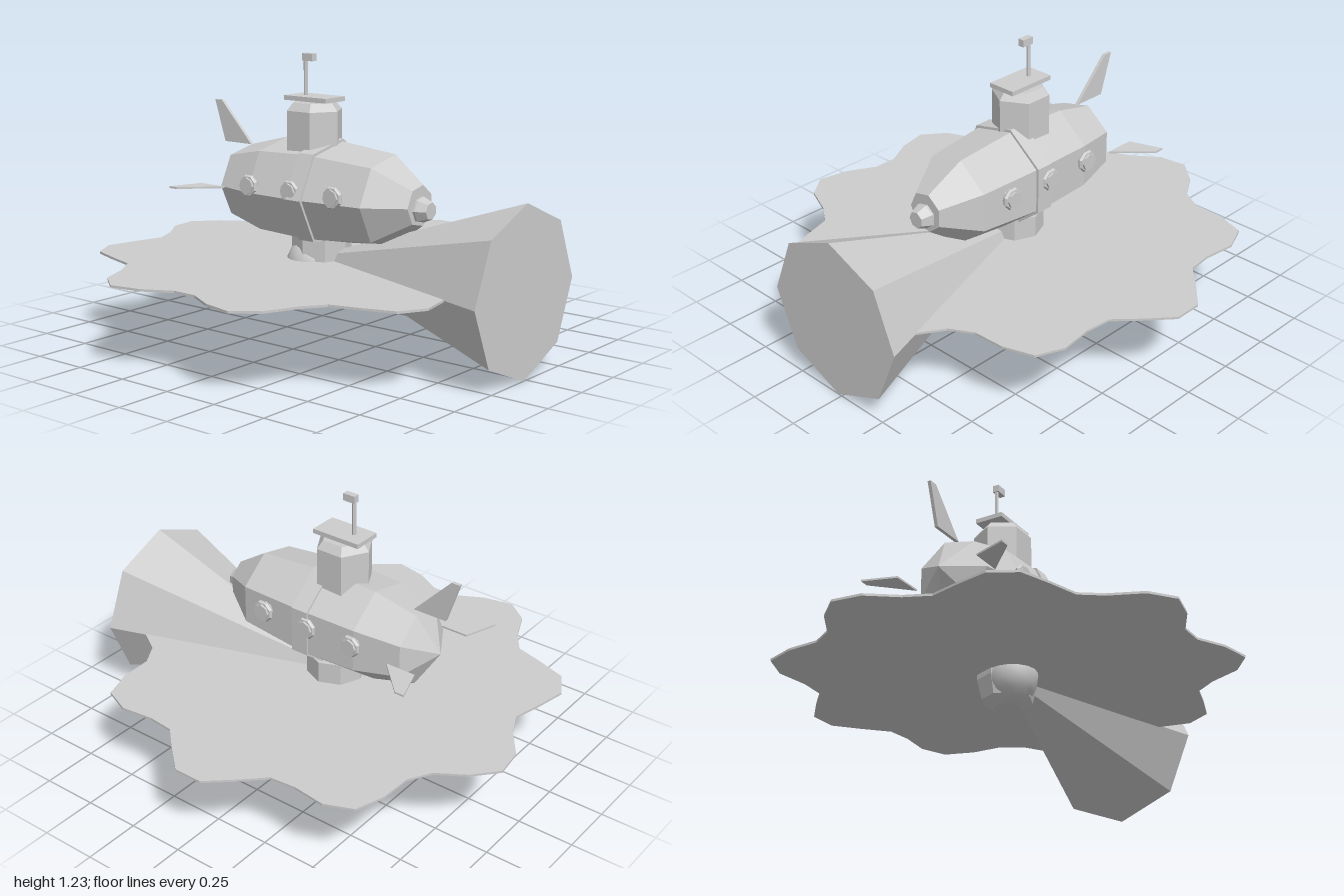
import * as THREE from 'three';

const CZ = 0.02; // centre line of the vessel
const AXIS_Y = 0.645; // hull axis height

export function createModel() {
  const model = new THREE.Group();
  model.name = 'submarine';
  const grey = new THREE.MeshStandardMaterial({ color: 0xcccccc });
  grey.name = 'plain grey';

  const add = (name, geometry, x = 0, y = 0, z = 0, parent = model) => {
    const mesh = new THREE.Mesh(geometry, grey);
    mesh.name = name;
    mesh.position.set(x, y, z);
    parent.add(mesh);
    return mesh;
  };

  const facet = (geometry) => {
    const flat = geometry.index ? geometry.toNonIndexed() : geometry;
    flat.computeVertexNormals();
    return flat;
  };

  // Faceted turned solid; the profile lists [position along the axis, radius]
  const turned = (profile, sides, start = 0) =>
    facet(new THREE.LatheGeometry(profile.map(([a, r]) => new THREE.Vector2(r, a)), sides, start));
  const turnedX = (profile, sides) => turned(profile, sides).rotateZ(-Math.PI / 2);

  const plate = (points, depth) => {
    const shape = new THREE.Shape(points.map(([x, y]) => new THREE.Vector2(x, y)));
    return new THREE.ExtrudeGeometry(shape, { depth, bevelEnabled: false }).translate(0, 0, -depth / 2);
  };

  // Seven-sided hull, middle band and nose
  add('hull', turnedX([[-0.565, 0], [-0.465, 0.167], [-0.265, 0.219], [0, 0.23],
    [0.33, 0.198], [0.49, 0.088], [0.49, 0]], 7), 0, AXIS_Y, CZ);
  add('hullBand', turnedX([[-0.035, 0], [-0.035, 0.238], [0.045, 0.238], [0.045, 0]], 7), 0, AXIS_Y, CZ);
  add('nose', turnedX([[0.47, 0], [0.47, 0.055], [0.5, 0.055], [0.545, 0.037], [0.545, 0]], 7),
    0, AXIS_Y - 0.015, CZ);

  // Three portholes on each side
  for (const side of [1, -1]) {
    for (const x of [-0.26, -0.03, 0.2]) {
      const porthole = new THREE.Group();
      porthole.name = 'porthole';
      porthole.position.set(x, 0.675, CZ + side * 0.213);
      if (side < 0) porthole.rotation.y = Math.PI;
      model.add(porthole);
      add('portholeFrame', facet(new THREE.TorusGeometry(0.038, 0.012, 6, 8).rotateZ(Math.PI / 8)),
        0, 0, 0, porthole);
      const glass = new THREE.CylinderGeometry(0.037, 0.037, 0.04, 8);
      glass.rotateX(Math.PI / 2);
      add('portholeGlass', facet(glass), 0, 0, 0, porthole);
    }
  }

  // Six-sided tower with a roof plate and periscope
  add('tower', turned([[0.78, 0], [0.78, 0.125], [0.998, 0.125], [1.032, 0.097], [1.032, 0]], 6, Math.PI / 2),
    -0.07, 0, CZ);
  add('towerRoof', new THREE.BoxGeometry(0.23, 0.02, 0.13), -0.07, 1.047, CZ);
  add('periscopeMast', facet(new THREE.CylinderGeometry(0.009, 0.009, 0.17, 6)), -0.118, 1.13, CZ);
  add('periscopeHead', new THREE.BoxGeometry(0.057, 0.032, 0.028), -0.1, 1.22, CZ);

  // Tail fins: one upright, two level
  add('uprightFin', plate([[-0.585, 0.815], [-0.43, 0.815], [-0.605, 1.0], [-0.645, 1.0]], 0.015), 0, 0, CZ);
  for (const side of [1, -1]) {
    const fin = plate([[-0.57, 0.19], [-0.43, 0.19], [-0.578, 0.337], [-0.62, 0.337]], 0.008);
    fin.rotateX(side * Math.PI / 2);
    add('levelFin', fin, 0, AXIS_Y, CZ - 0.005);
  }

  // Lamp below the hull: faceted housing and rounded bulb
  add('lampHousing', turned([[0.215, 0], [0.215, 0.06], [0.245, 0.11], [0.33, 0.13], [0.46, 0.13], [0.46, 0]], 8),
    -0.03, 0, CZ);
  const bulb = add('lampBulb', new THREE.SphereGeometry(0.115, 16, 10), -0.055, 0.335, CZ + 0.035);
  bulb.scale.set(0.95, 1.05, 1);

  // Solid eight-sided light beam
  add('lightBeam', turnedX([[-0.07, 0], [1, 0.358], [1, 0]], 8), 0, 0.36, CZ);

  // Thin water sheet with nine soft lobes
  const outline = [];
  for (let i = 0; i < 48; i++) {
    const a = (i + 0.5) * Math.PI / 24;
    const r = 0.91 + 0.08 * Math.cos(9 * (a - Math.PI / 2));
    outline.push([r * Math.cos(a), r * Math.sin(a)]);
  }
  add('waterSheet', plate(outline, 0.01).rotateX(-Math.PI / 2), -0.03, 0.358, 0.025);

  return model;
}
